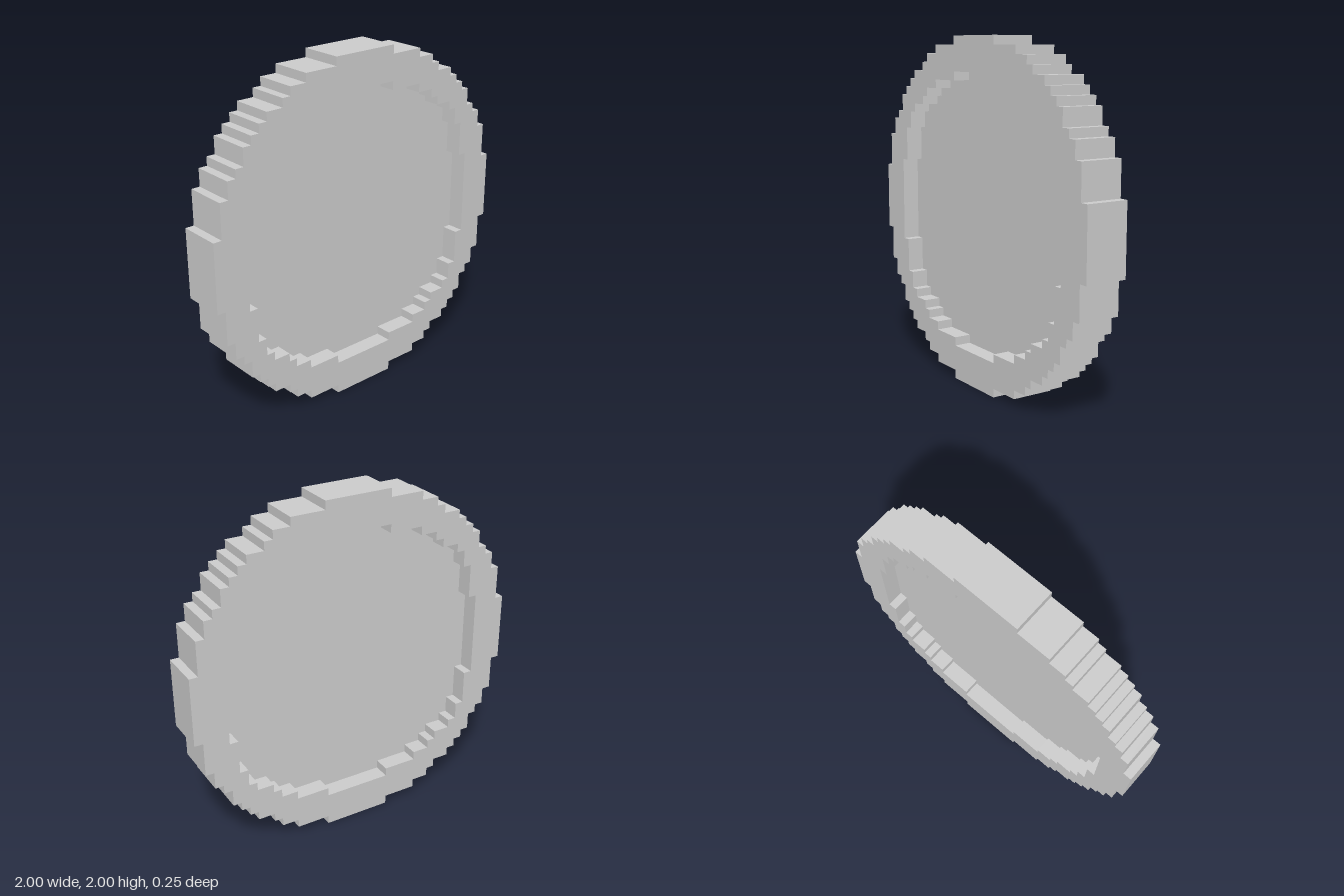
import * as THREE from 'three';

const STEP = 0.05; // size of one stair step

// Outer corners of one quadrant as [x, y] in steps, from the top round to the side
const RIM = [[4, 20], [8, 19], [10, 18], [11, 17], [13, 16], [14, 15], [15, 14], [16, 13], [17, 11], [18, 10], [19, 8], [20, 4]];
const RECESS = [[4, 16], [8, 15], [10, 14], [11, 13], [13, 12], [14, 11], [15, 9], [16, 5]];

// Closed stepped circle running clockwise, mirrored from one quadrant
function steppedOutline(corners) {
  const quadrant = [];
  corners.forEach(([x, y], i) => {
    if (i > 0) quadrant.push([corners[i - 1][0], y]); // inner corner of the step
    quadrant.push([x, y]);
  });
  const reversed = [...quadrant].reverse();
  const mirror = (list, sx, sy) => list.map(([x, y]) => new THREE.Vector2(x * sx * STEP, y * sy * STEP));
  return [
    ...mirror(quadrant, 1, 1),
    ...mirror(reversed, 1, -1),
    ...mirror(quadrant, -1, -1),
    ...mirror(reversed, -1, 1),
  ];
}

// Flat slab of the given thickness, centred on z = 0
function slab(name, shape, depth, material) {
  const geometry = new THREE.ExtrudeGeometry(shape, { depth, bevelEnabled: false });
  geometry.translate(0, 1, -depth / 2);
  const mesh = new THREE.Mesh(geometry, material);
  mesh.name = name;
  return mesh;
}

export function createModel() {
  const group = new THREE.Group();
  group.name = 'steppedDisc';
  const material = new THREE.MeshStandardMaterial({ color: 0xcccccc, flatShading: true });

  // Thick raised rim; the hole runs the other way so its walls face inward
  const rimShape = new THREE.Shape(steppedOutline(RIM));
  rimShape.holes.push(new THREE.Path(steppedOutline(RECESS).reverse()));
  group.add(slab('rim', rimShape, 0.25, material));

  // Thin panel set in the middle of the rim, recessed on both faces
  group.add(slab('centrePanel', new THREE.Shape(steppedOutline(RECESS)), 0.05, material));

  return group;
}
